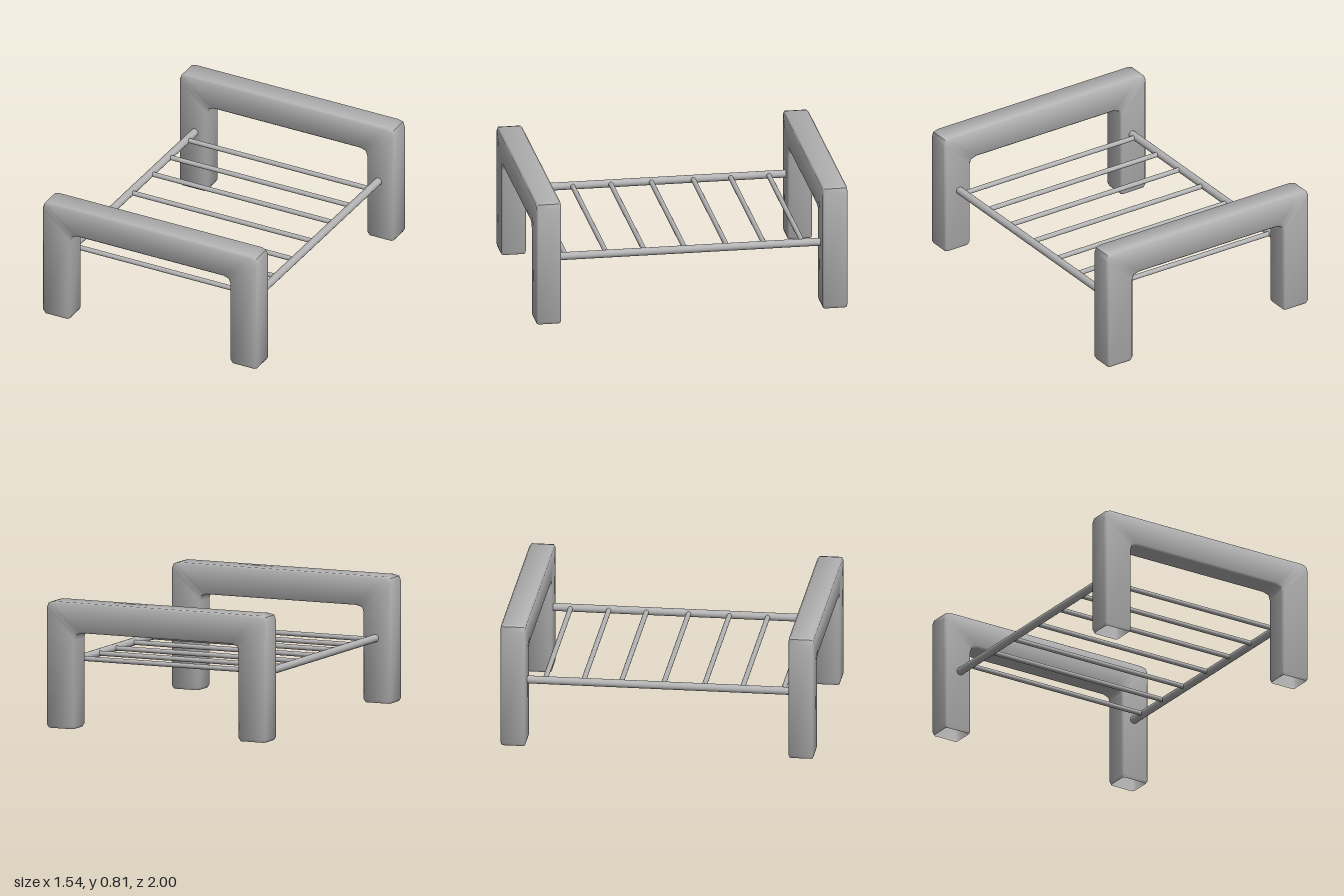
import * as THREE from 'three';
import { toCreasedNormals } from 'three/addons/utils/BufferGeometryUtils.js';

const HALF_DEPTH = 0.08; // half thickness of an end frame
const FRAME_Z = 0.92;
const ROD_Y = 0.415;

// Arch swept from a bevelled section: each station is [outerX, outerY, innerX, innerY, depthScale]
function archGeometry() {
  const half = [
    [0.76, 0, 0.585, 0, 0.93],
    [0.771, 0.02, 0.575, 0.02, 1],
    [0.771, 0.77, 0.575, 0.575, 1],
    [0.76, 0.802, 0.564, 0.606, 1],
    [0.725, 0.812, 0.525, 0.619, 1],
  ];
  const mirrored = half.map(([ox, oy, ix, iy, s]) => [-ox, oy, -ix, iy, s]).reverse();
  const stations = [...half, ...mirrored];

  // [inner-to-outer fraction, depth fraction] around the section
  const b = 0.06, d = 0.86;
  const section = [
    [1, -d], [1, d], [1 - b, 1], [b, 1], [0, d], [0, -d], [b, -1], [1 - b, -1],
  ];

  const positions = [], index = [], n = section.length;
  for (const [ox, oy, ix, iy, s] of stations) {
    for (const [t, v] of section) {
      positions.push(ix + (ox - ix) * t, iy + (oy - iy) * t, v * HALF_DEPTH * s);
    }
  }
  for (let i = 0; i < stations.length - 1; i++) {
    for (let j = 0; j < n; j++) {
      const k = (j + 1) % n;
      const a = i * n + j, c = i * n + k;
      index.push(a, a + n, c, c, a + n, c + n);
    }
  }
  const geometry = new THREE.BufferGeometry();
  geometry.setAttribute('position', new THREE.Float32BufferAttribute(positions, 3));
  geometry.setIndex(index);
  return toCreasedNormals(geometry, 0.95);
}

export function createModel() {
  const group = new THREE.Group();
  // Double sided because the feet are open underneath
  const grey = new THREE.MeshStandardMaterial({ color: 0xb4b4b4, side: THREE.DoubleSide });
  grey.name = 'grey';

  const add = (geometry, name, x, y, z) => {
    const mesh = new THREE.Mesh(geometry, grey);
    mesh.name = name;
    mesh.position.set(x, y, z);
    group.add(mesh);
  };

  // Head and foot frames
  const arch = archGeometry();
  add(arch, 'frontFrame', 0, 0, FRAME_Z);
  add(arch, 'backFrame', 0, 0, -FRAME_Z);

  // Side rails
  const rail = new THREE.CylinderGeometry(0.025, 0.025, 1.69, 16).rotateX(Math.PI / 2);
  add(rail, 'leftRail', 0.66, ROD_Y, 0);
  add(rail, 'rightRail', -0.66, ROD_Y, 0);

  // Cross slats
  const slat = new THREE.CylinderGeometry(0.016, 0.016, 1.29, 16).rotateZ(Math.PI / 2);
  [-0.73, -0.485, -0.245, 0.025, 0.285, 0.53, 0.793].forEach((z, i) => {
    add(slat, `slat${i + 1}`, 0, ROD_Y, z);
  });

  return group;
}
